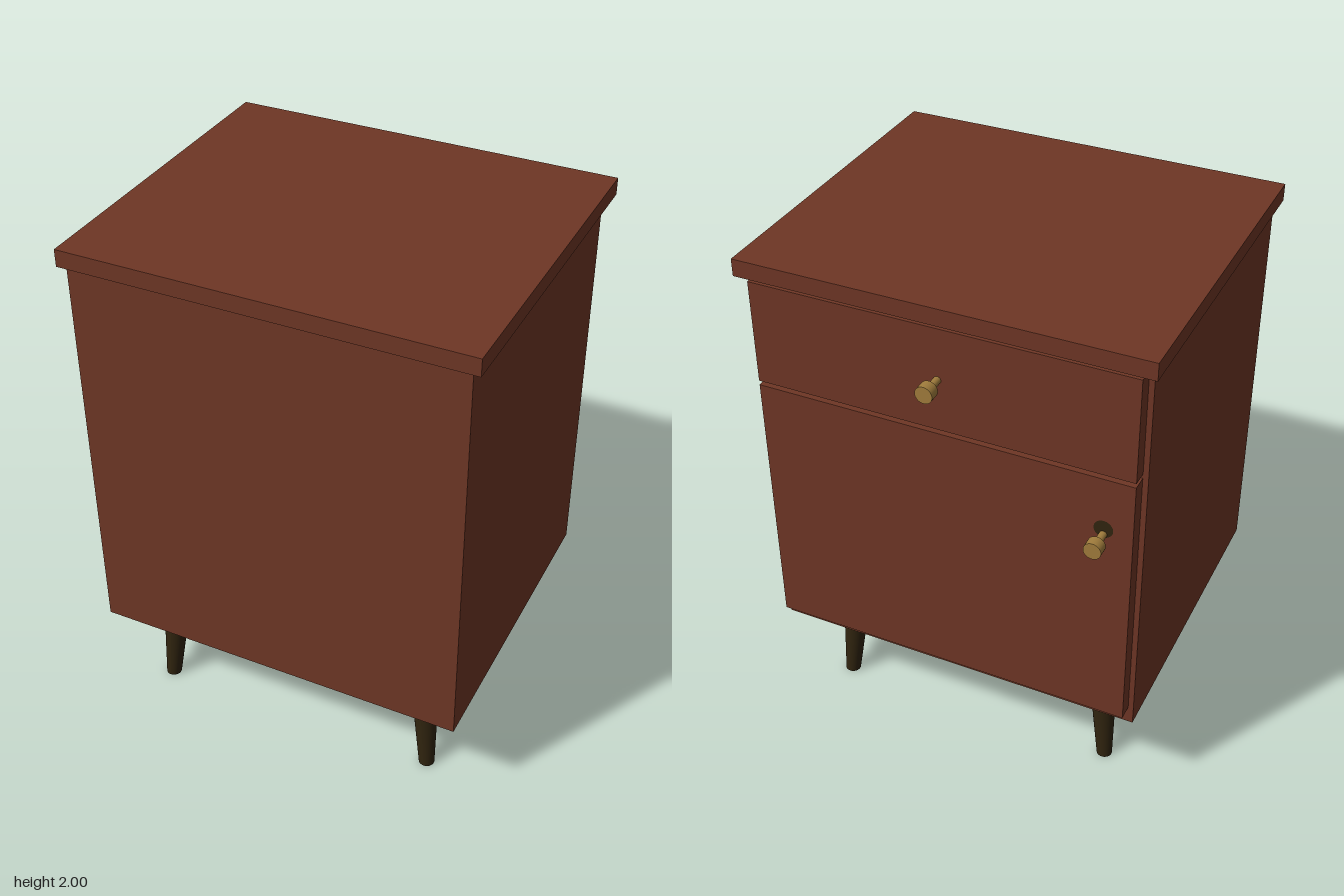
import * as THREE from 'three';

export function createModel() {
  const root = new THREE.Group();
  const mat = (name, color) => {
    const m = new THREE.MeshStandardMaterial({ color });
    m.name = name;
    return m;
  };
  const wood = mat('redBrownWood', 0x6e3625);
  const darkWood = mat('darkWood', 0x30240f);
  const brass = mat('brass', 0xa07c3c);

  const add = (parent, name, geometry, material) => {
    const mesh = new THREE.Mesh(geometry, material);
    mesh.name = name;
    parent.add(mesh);
    return mesh;
  };

  // Box given by its limits on each axis
  const box = (name, [x0, x1], [y0, y1], [z0, z1], material = wood) => {
    const mesh = add(root, name, new THREE.BoxGeometry(x1 - x0, y1 - y0, z1 - z0), material);
    mesh.position.set((x0 + x1) / 2, (y0 + y1) / 2, (z0 + z1) / 2);
    return mesh;
  };
  // Wood on every side but a dark underside
  const darkUnder = [wood, wood, wood, darkWood, wood, wood];

  // Cabinet carcass, top board and the two overlaid fronts
  box('cabinetBody', [-0.725, 0.725], [0.39, 1.935], [-0.54, 0.68]);
  box('topBoard', [-0.755, 0.755], [1.935, 2], [-0.605, 0.695], darkUnder);
  box('drawerFront', [-0.705, 0.705], [1.525, 1.922], [-0.598, -0.54]);
  box('door', [-0.705, 0.705], [0.46, 1.508], [-0.598, -0.54], darkUnder);

  // Knobs: a thin stem with a wider round head, pointing to -z
  const knob = (name, x, y) => {
    const g = new THREE.Group();
    g.name = name;
    g.position.set(x, y, -0.595);
    const stem = add(g, 'knobStem', new THREE.CylinderGeometry(0.014, 0.014, 0.07, 24), brass);
    stem.rotation.x = -Math.PI / 2;
    stem.position.z = -0.035;
    const head = add(g, 'knobHead', new THREE.CylinderGeometry(0.032, 0.032, 0.041, 32), brass);
    head.rotation.x = -Math.PI / 2;
    head.position.z = -0.0815;
    root.add(g);
  };
  knob('drawerKnob', 0, 1.725);
  knob('doorKnob', -0.6, 1.283);

  // Dark mark around the door knob
  const mark = add(root, 'doorKnobMark', new THREE.CircleGeometry(0.035, 20), darkWood);
  mark.position.set(-0.6, 1.305, -0.6);
  mark.rotation.y = Math.PI;

  // Dark marks hanging below the top board on the left side
  for (const [z, w, h] of [[0.285, 0.075, 0.042], [0.63, 0.035, 0.03]]) {
    const half = new THREE.CircleGeometry(1, 20, Math.PI, Math.PI);
    const m = add(root, 'sideMark', half, darkWood);
    m.scale.set(w, h, 1);
    m.rotation.y = Math.PI / 2;
    m.position.set(0.727, 1.934, z);
  }

  // Tapered legs splayed outwards by shearing a cone
  const legHeight = 0.4;
  for (const sx of [-1, 1]) {
    for (const sz of [-1, 1]) {
      const geo = new THREE.CylinderGeometry(0.055, 0.03, legHeight, 28);
      geo.translate(0, legHeight / 2, 0);
      const p = geo.attributes.position;
      for (let i = 0; i < p.count; i++) {
        const k = 1 - p.getY(i) / legHeight;
        p.setX(i, p.getX(i) + sx * 0.031 * k);
        p.setZ(i, p.getZ(i) + sz * 0.028 * k);
      }
      geo.computeVertexNormals();
      const leg = add(root, 'leg', geo, darkWood);
      leg.position.set(sx * 0.532, 0, sz > 0 ? 0.491 : -0.348);
    }
  }

  return root;
}
